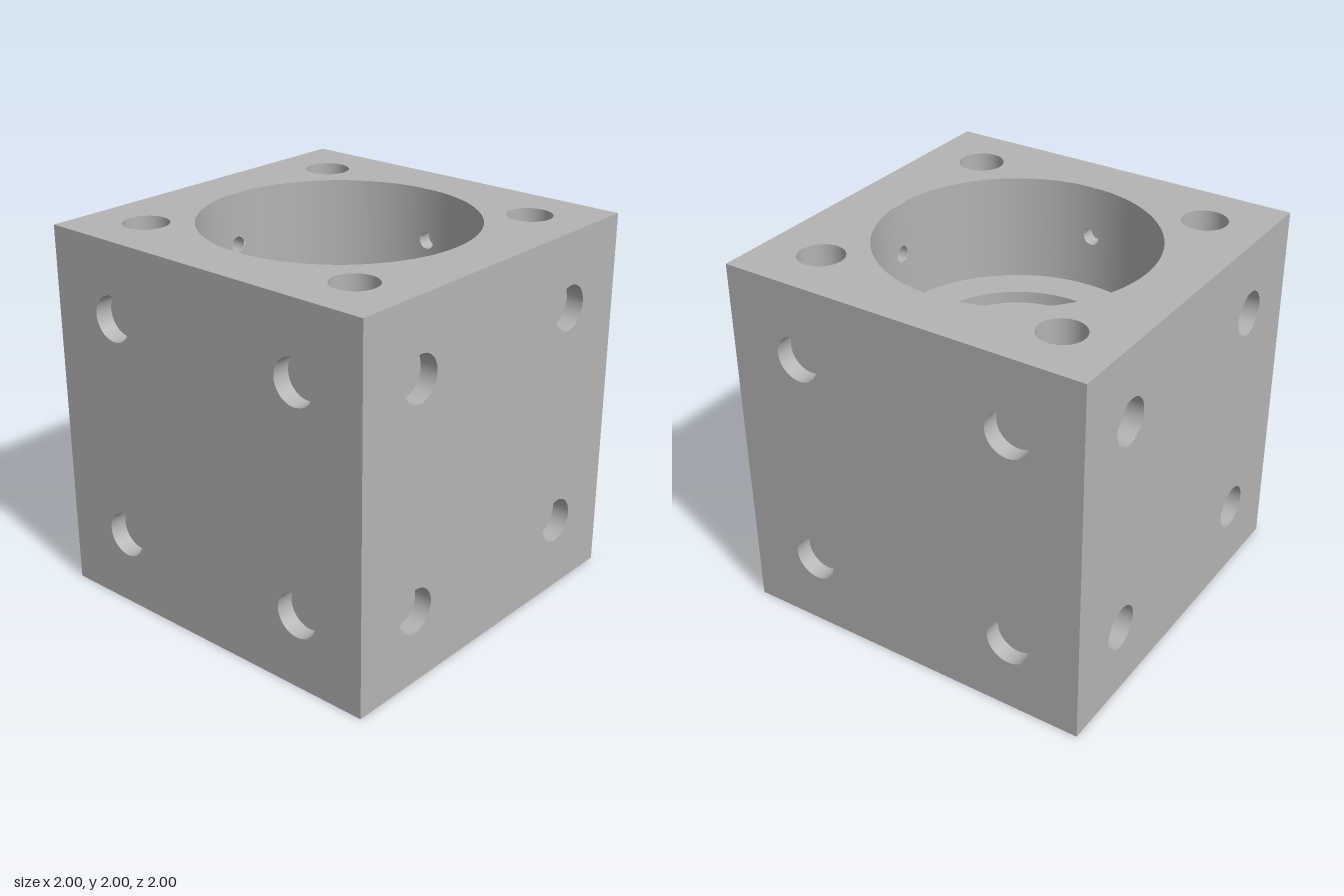
import * as THREE from 'three';

const POCKET_R = 0.72, POCKET_DEPTH = 0.576, HOLE_R = 0.12;
const SOCKET_DEPTH = 0.096, BOLT_DEPTH = 0.4;
const DETENT_R = 0.045, DETENT_DEPTH = 0.08, PATCH_ANGLE = 0.08;

const grey = new THREE.MeshStandardMaterial({ color: 0xb4b4b4 });
grey.name = 'machined grey';

function mesh(name, geometry) {
  const m = new THREE.Mesh(geometry, grey);
  m.name = name;
  return m;
}

// Turned recess: one lathe per profile segment so every edge stays sharp
function recess(name, profile, segments) {
  const g = new THREE.Group();
  g.name = name;
  const pts = profile.map(([r, y]) => new THREE.Vector2(r, y));
  for (let i = 0; i < pts.length - 1; i++) {
    g.add(mesh(name + 'Surface', new THREE.LatheGeometry([pts[i], pts[i + 1]], segments)));
  }
  return g;
}

function cutCircle(shape, x, y, r) {
  shape.holes.push(new THREE.Path().absarc(x, y, r, 0, Math.PI * 2, true));
}

// One cube face, facing +z, with four blind holes and an optional centre opening
function cubeFace(name, spacing, depth, opening = 0) {
  const g = new THREE.Group();
  g.name = name;
  const shape = new THREE.Shape([[-1, -1], [1, -1], [1, 1], [-1, 1]].map(p => new THREE.Vector2(...p)));
  for (const sx of [-1, 1]) for (const sy of [-1, 1]) {
    cutCircle(shape, sx * spacing, sy * spacing, HOLE_R);
    const hole = recess('blindHole', [[HOLE_R, 0], [HOLE_R, -depth], [0, -depth]], 48);
    hole.rotation.x = Math.PI / 2;
    hole.position.set(sx * spacing, sy * spacing, 1);
    g.add(hole);
  }
  if (opening) cutCircle(shape, 0, 0, opening);
  const panel = mesh(name + 'Panel', new THREE.ShapeGeometry(shape, 48 * 2));
  panel.position.z = 1;
  g.add(panel);
  g.position.y = 1;
  return g;
}

// Quarter of the pocket wall: a curved span and a narrow strip pierced by a small hole
function wallQuarter() {
  const g = new THREE.Group();
  g.name = 'pocketWallQuarter';
  const span = [new THREE.Vector2(POCKET_R, 0), new THREE.Vector2(POCKET_R, -POCKET_DEPTH)];
  g.add(mesh('pocketWall', new THREE.LatheGeometry(span, 24, PATCH_ANGLE, Math.PI / 2 - 2 * PATCH_ANGLE)));

  const w = POCKET_R * PATCH_ANGLE;
  const strip = new THREE.Shape([[-w, -POCKET_DEPTH], [w, -POCKET_DEPTH], [w, 0], [-w, 0]].map(p => new THREE.Vector2(...p)));
  cutCircle(strip, 0, -POCKET_DEPTH / 2, DETENT_R);
  const geo = new THREE.ShapeGeometry(strip, 32);
  const pos = geo.attributes.position;
  for (let i = 0; i < pos.count; i++) {
    const a = -pos.getX(i) / POCKET_R;
    pos.setXYZ(i, POCKET_R * Math.sin(a), pos.getY(i), POCKET_R * Math.cos(a));
    geo.attributes.normal.setXYZ(i, -Math.sin(a), 0, -Math.cos(a));
  }
  g.add(mesh('piercedStrip', geo));

  const detent = recess('radialHole', [[DETENT_R, 0], [DETENT_R, -DETENT_DEPTH], [0, -DETENT_DEPTH]], 32);
  detent.rotation.x = -Math.PI / 2;
  detent.position.set(0, -POCKET_DEPTH / 2, POCKET_R);
  g.add(detent);
  return g;
}

export function createModel() {
  const model = new THREE.Group();
  model.name = 'connectorCube';

  // Four side faces
  ['front', 'left', 'back', 'right'].forEach((side, i) => {
    const face = cubeFace(side + 'Face', 0.6, SOCKET_DEPTH);
    face.rotation.y = i * Math.PI / 2;
    model.add(face);
  });

  // Top with the pocket opening and deeper bolt holes; plain bottom
  const top = cubeFace('topFace', 0.68, BOLT_DEPTH, POCKET_R);
  top.rotation.x = -Math.PI / 2;
  const bottom = cubeFace('bottomFace', 0.6, SOCKET_DEPTH);
  bottom.rotation.x = Math.PI / 2;
  model.add(top, bottom);

  // Round pocket with a ring groove in its floor
  const pocket = new THREE.Group();
  pocket.name = 'pocket';
  pocket.position.y = 2;
  const f = -POCKET_DEPTH, d = f - 0.08;
  pocket.add(recess('pocketFloor', [[POCKET_R, f], [0.52, f], [0.52, d], [0.4, d], [0.4, f], [0, f]], 96));
  for (let i = 0; i < 4; i++) {
    const q = wallQuarter();
    q.rotation.y = i * Math.PI / 2;
    pocket.add(q);
  }
  model.add(pocket);
  return model;
}
